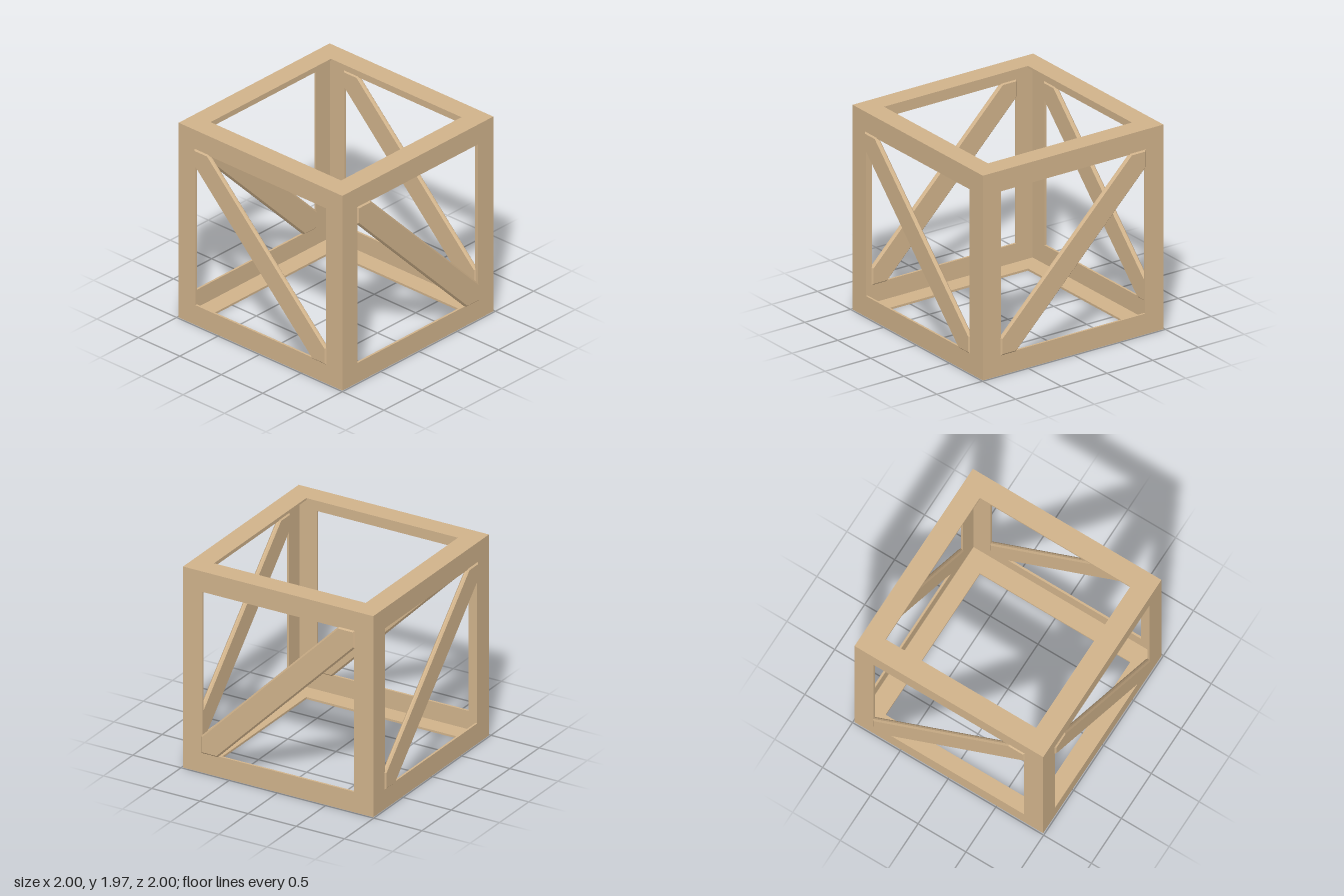
import * as THREE from 'three';

const HALF = 0.987;          // half the outer size of the cube
const INNER = HALF - 0.2;    // half the size of each square opening
const WALL = 0.02;           // thickness of the frame's walls
const BRACE = 0.045;         // thickness of the braces

// a flat plate centred on the origin and facing z, with optional chamfers
function plate(shape, depth, bevel) {
  const geometry = new THREE.ExtrudeGeometry(shape, {
    depth: depth - 2 * bevel, bevelEnabled: bevel > 0, bevelSegments: 1,
    bevelSize: bevel, bevelThickness: bevel, bevelOffset: -bevel,
  });
  return geometry.center();
}

const polygon = (points) => points.map(([x, y]) => new THREE.Vector2(x, y));
const square = (h) => polygon([[-h, -h], [h, -h], [h, h], [-h, h]]);

export function createModel() {
  const model = new THREE.Group();
  model.name = 'bracedCubeFrame';
  const wood = new THREE.MeshStandardMaterial({ color: 0xd2b48c });
  wood.name = 'tanWood';

  // thin square wall with a square opening
  const wallShape = new THREE.Shape(square(HALF));
  wallShape.holes.push(new THREE.Path(square(INNER)));
  const wallGeometry = plate(wallShape, WALL, 0);

  // diagonal brace: a strip clipped to the opening
  const e = INNER + 0.01, c = 0.17;
  const braceShape = new THREE.Shape(polygon([
    [-e, e], [-e, e - c], [e - c, -e], [e, -e], [e, c - e], [c - e, e],
  ]));
  const braceGeometry = plate(braceShape, BRACE, 0.015);

  // two opposite faces of the cube, turned into place as a pair
  function addPair(name, rotation, braced) {
    const pair = new THREE.Group();
    pair.name = name;
    for (const s of [-1, 1]) {
      const wall = new THREE.Mesh(wallGeometry, wood);
      wall.name = 'openWall';
      wall.position.z = s * (HALF - WALL / 2);
      pair.add(wall);
      if (braced) {
        const brace = new THREE.Mesh(braceGeometry, wood);
        brace.name = 'diagonalBrace';
        brace.position.z = s * (1 - BRACE / 2);
        pair.add(brace);
      }
    }
    pair.rotation.set(...rotation);
    pair.position.y = HALF;
    model.add(pair);
  }

  addPair('frontAndBack', [0, 0, 0], true);
  addPair('leftAndRight', [0, -Math.PI / 2, 0], true);
  addPair('topAndBottom', [Math.PI / 2, 0, 0], false);
  return model;
}
